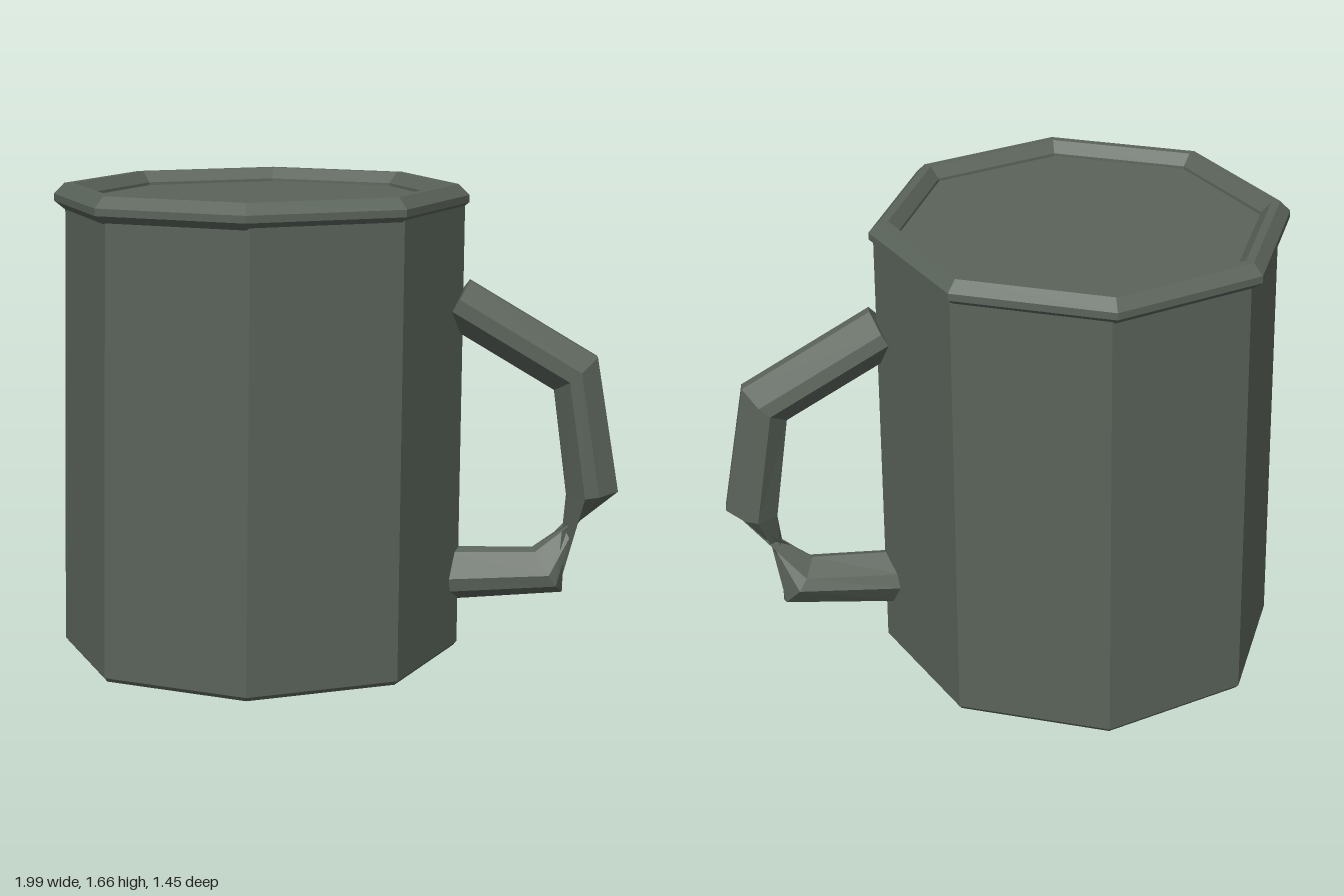
import * as THREE from 'three';

const SIDES = 8;
const CENTER_X = -0.272;

// Octagonal turned part from [radius, y] pairs, outside going upwards
function turned(name, profile, material) {
  const geometry = new THREE.LatheGeometry(profile.map(([r, y]) => new THREE.Vector2(r, y)), SIDES);
  const mesh = new THREE.Mesh(geometry, material);
  mesh.name = name;
  mesh.position.x = CENTER_X;
  return mesh;
}

// Bevelled-diamond handle section: [outward, sideways] in half-widths
const SECTION = [
  [1, 0.42], [1, 0], [0.28, -0.78], [-0.22, -0.88],
  [-1, -0.22], [-1, 0.2], [-0.33, 1.05], [0.22, 1.05],
];

// Stations along the handle: centre x, y, outward half-vector x, y, twist
const STATIONS = [
  [0.414, 1.253, 0.046, 0.077, 0],
  [0.835, 1.0, 0.075, 0.06, 0],
  [0.9, 0.568, 0.09, 0.012, 0],
  [0.748, 0.28, 0.052, -0.08, 160],
  [0.38, 0.264, 0, -0.094, 160],
];

function handleGeometry() {
  const n = SECTION.length;
  const positions = [];
  const index = [];
  for (const [cx, cy, hx, hy, degrees] of STATIONS) {
    const t = THREE.MathUtils.degToRad(degrees);
    for (const [a, b] of SECTION) {
      const out = a * Math.cos(t) - b * Math.sin(t);
      const side = a * Math.sin(t) + b * Math.cos(t);
      positions.push(cx + hx * out, cy + hy * out, 0.094 * side);
    }
  }
  for (let s = 0; s < STATIONS.length - 1; s++) {
    for (let i = 0; i < n; i++) {
      const a = s * n + i, b = s * n + (i + 1) % n;
      index.push(a, a + n, b, b, a + n, b + n);
    }
  }
  // End caps
  const last = (STATIONS.length - 1) * n;
  for (let i = 1; i < n - 1; i++) {
    index.push(0, i, i + 1, last, last + i + 1, last + i);
  }
  const geometry = new THREE.BufferGeometry();
  geometry.setAttribute('position', new THREE.Float32BufferAttribute(positions, 3));
  geometry.setIndex(index);
  geometry.computeVertexNormals();
  return geometry;
}

export function createModel() {
  const group = new THREE.Group();
  group.name = 'mug';
  const metal = new THREE.MeshStandardMaterial({ color: 0x5a635a, flatShading: true, side: THREE.DoubleSide });
  metal.name = 'dark grey green';

  // Body with a small foot bevel, leaning very slightly
  const body = turned('body', [[0, 0], [0.695, 0], [0.708, 0.015], [0.7, 1.59]], metal);
  const p = body.geometry.attributes.position;
  for (let i = 0; i < p.count; i++) {
    p.setX(i, p.getX(i) - 0.012 + 0.015 * p.getY(i));
  }
  group.add(body);

  // Bevelled rim band
  group.add(turned('rim', [
    [0.62, 1.575], [0.69, 1.57], [0.727, 1.6], [0.727, 1.625],
    [0.69, 1.663], [0.66, 1.663], [0.625, 1.625], [0.62, 1.575],
  ], metal));

  // Flat surface just below the rim
  const top = new THREE.Mesh(new THREE.CircleGeometry(0.64, SIDES), metal);
  top.name = 'topSurface';
  top.rotation.x = -Math.PI / 2;
  top.position.set(CENTER_X, 1.615, 0);
  group.add(top);

  // Twisted side handle
  const handle = new THREE.Mesh(handleGeometry(), metal);
  handle.name = 'handle';
  group.add(handle);

  return group;
}
